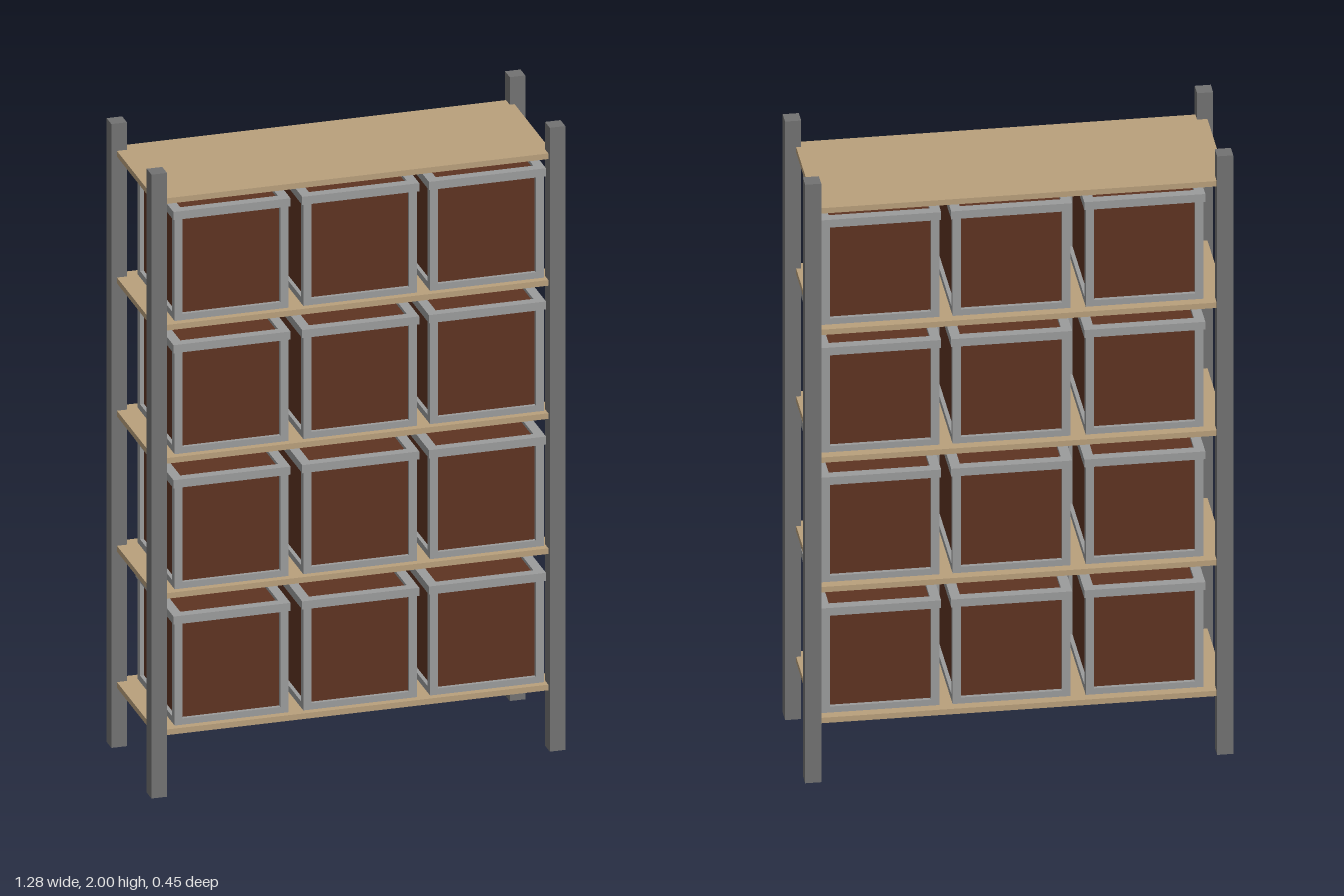
import * as THREE from 'three';

const mat = (name, color) => {
  const m = new THREE.MeshStandardMaterial({ color });
  m.name = name;
  return m;
};

export function createModel() {
  const steel = mat('dark grey steel', 0x727272);
  const trim = mat('light grey trim', 0x9b9c9c);
  const wood = mat('tan wood', 0xb9a07c);
  const brown = mat('brown panel', 0x5e3321);

  const box = (parent, name, material, w, h, d, x, y, z) => {
    const mesh = new THREE.Mesh(new THREE.BoxGeometry(w, h, d), material);
    mesh.name = name;
    mesh.position.set(x, y, z);
    parent.add(mesh);
  };

  const model = new THREE.Group();
  model.name = 'storageRack';

  // Corner posts
  for (const x of [-0.616, 0.616])
    for (const z of [-0.203, 0.203]) box(model, 'post', steel, 0.048, 2, 0.048, x, 1, z);

  // Shelf boards
  const shelves = [0.2, 0.637, 1.07, 1.497, 1.903];
  for (const y of shelves) box(model, 'shelf', wood, 1.23, 0.018, 0.428, -0.008, y, -0.002);

  // Storage bin: solid panels inside a frame of bars, with a wider rim on top
  const createBin = () => {
    const bin = new THREE.Group();
    bin.name = 'bin';
    const w = 0.352, d = 0.376, h = 0.352, bar = 0.025;
    box(bin, 'binBody', brown, w - 0.024, h - 0.014, d - 0.024, 0, h / 2 - 0.003, 0);
    for (const s of [-1, 1]) {
      for (const t of [-1, 1])
        box(bin, 'cornerBar', trim, bar, h - 0.026, bar, s * (w - bar) / 2, (h - 0.026) / 2, t * (d - bar) / 2);
      // Bottom rails
      box(bin, 'bottomRail', trim, w - 2 * bar, 0.02, bar, 0, 0.01, s * (d - bar) / 2);
      box(bin, 'bottomRail', trim, bar, 0.02, d - 2 * bar, s * (w - bar) / 2, 0.01, 0);
      // Top rim
      box(bin, 'topRim', trim, w + 0.01, 0.026, 0.03, 0, h - 0.013, s * (d - 0.02) / 2);
      box(bin, 'topRim', trim, 0.03, 0.026, d - 0.05, s * (w - 0.02) / 2, h - 0.013, 0);
    }
    return bin;
  };

  // Three bins on each of the four lower shelves
  for (const y of shelves.slice(0, 4))
    for (const x of [-0.381, 0.017, 0.409]) {
      const bin = createBin();
      bin.position.set(x, y + 0.009, 0.002);
      model.add(bin);
    }

  return model;
}
